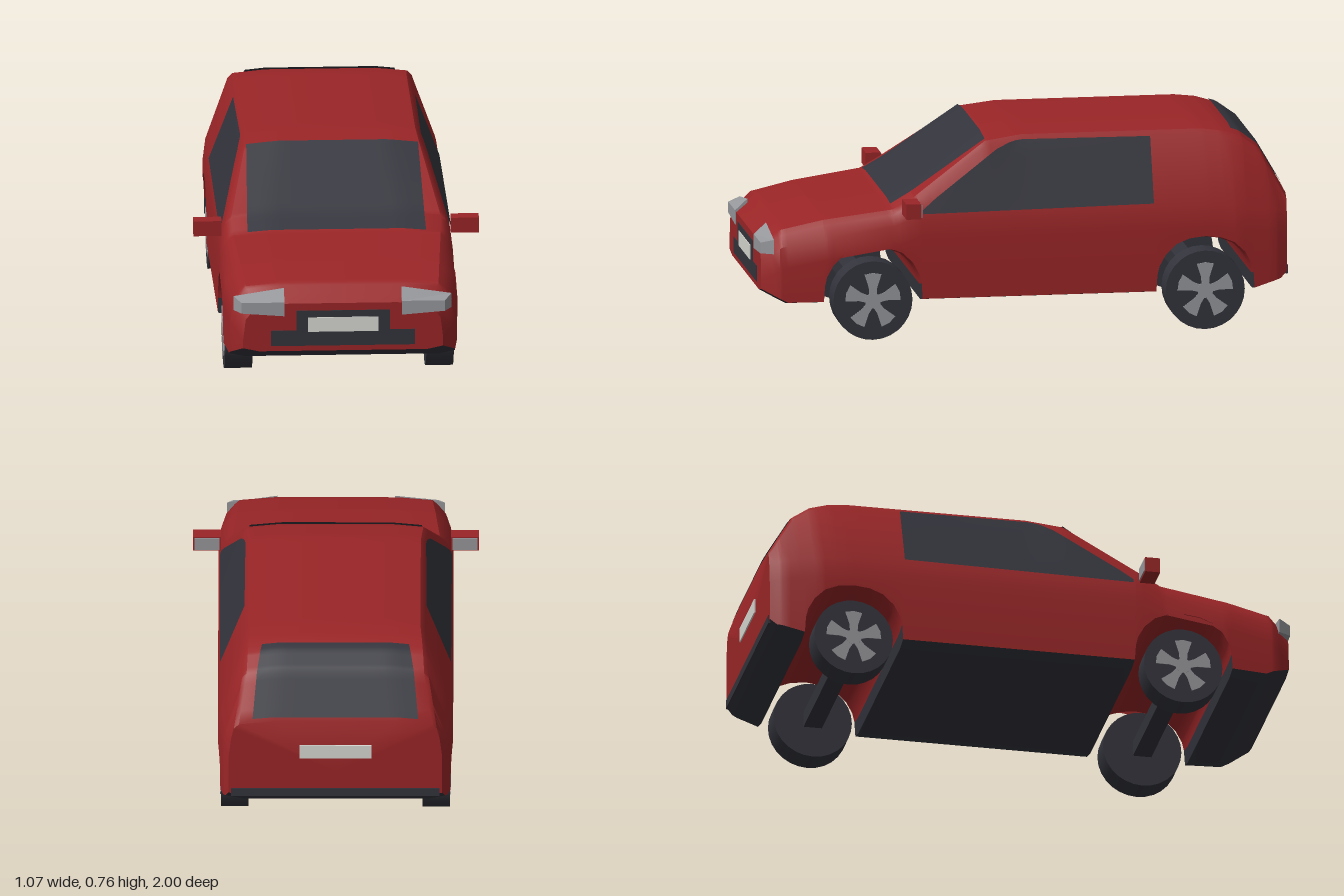
import * as THREE from 'three';
import { toCreasedNormals } from 'three/addons/utils/BufferGeometryUtils.js';

const mat = (name, color, side = THREE.FrontSide) => {
  const m = new THREE.MeshStandardMaterial({ color, side });
  m.name = name;
  return m;
};

// Piecewise linear curve through [z, value] knots, z falling from front to rear
function at(knots, z) {
  if (z >= knots[0][0]) return knots[0][1];
  for (let i = 1; i < knots.length; i++) {
    const [z0, v0] = knots[i - 1], [z1, v1] = knots[i];
    if (z >= z1) return v0 + (v1 - v0) * (z0 - z) / (z0 - z1);
  }
  return knots[knots.length - 1][1];
}

// Wheel arch outline in the underside, centred on c
const arch = (c) => [[c + 0.187, 0.14], [c + 0.183, 0.2], [c + 0.175, 0.235], [c + 0.15, 0.28],
  [c + 0.11, 0.318], [c + 0.06, 0.338], [c, 0.345], [c - 0.06, 0.338], [c - 0.11, 0.318],
  [c - 0.15, 0.28], [c - 0.175, 0.235], [c - 0.183, 0.2], [c - 0.187, 0.14]];

const FRONT = 0.58, REAR = -0.68, END = 0.995;
const roofLine = [[END, 0.37], [0.92, 0.43], [0.76, 0.465], [0.5, 0.5], [0.42, 0.545], [0.14, 0.738],
  [0, 0.757], [-0.68, 0.757], [-0.76, 0.747], [-0.83, 0.725], [-0.9, 0.675], [-END, 0.51]];
const edgeWidth = [[END, 0.34], [0.92, 0.38], [0.5, 0.41], [0.42, 0.413], [0.14, 0.345], [0, 0.335],
  [-0.68, 0.335], [-0.9, 0.35], [-END, 0.38]];
const shoulder = [[END, 0.31], [0.92, 0.36], [0.76, 0.39], [0.5, 0.43], [0.4, 0.47], [-0.7, 0.48], [-END, 0.44]];
const sideWidth = [[END, 0.375], [0.93, 0.42], [0.75, 0.44], [-0.8, 0.44], [-0.95, 0.42], [-END, 0.4]];
const floorLine = [[END, 0.185], [0.9, 0.138], ...arch(FRONT), ...arch(REAR), [-0.97, 0.17], [-END, 0.195]];

// Half cross-section from roof centre, round the side, to floor centre
function half(z) {
  const t = at(roofLine, z), e = at(edgeWidth, z), s = at(shoulder, z), w = at(sideWidth, z), b = at(floorLine, z);
  return [[0, t], [0.6 * e, t], [0.95 * e, t - 0.012], [e, t - 0.03], [w - 0.01, s], [w, s - 0.08],
    [w, b + 0.013], [w - 0.06, b], [0, b]];
}
function topY(x, z) {
  const p = half(z), a = Math.abs(x);
  for (let i = 0; i < 4; i++) {
    if (a <= p[i + 1][0]) return p[i][1] + (p[i + 1][1] - p[i][1]) * (a - p[i][0]) / (p[i + 1][0] - p[i][0]);
  }
  return p[4][1];
}
function sideX(y, z) {
  const p = half(z);
  for (let i = 2; i < 5; i++) {
    if (y >= p[i + 1][1]) return p[i][0] + (p[i + 1][0] - p[i][0]) * (p[i][1] - y) / (p[i][1] - p[i + 1][1]);
  }
  return p[5][0];
}

function fromTriangles(list, crease) {
  const g = new THREE.BufferGeometry();
  g.setAttribute('position', new THREE.Float32BufferAttribute(list.flat(), 3));
  return toCreasedNormals(g, crease);
}

// Grid surface from fn(u, v)
function patch(nu, nv, fn) {
  const tri = [];
  const P = (i, j) => fn(i / nu, j / nv);
  for (let i = 0; i < nu; i++) for (let j = 0; j < nv; j++) {
    const a = P(i, j), b = P(i + 1, j), c = P(i + 1, j + 1), d = P(i, j + 1);
    tri.push(a, b, c, a, c, d);
  }
  return fromTriangles(tri, 0.6);
}

// Loft of the shell, split into paint and dark underside
function shell() {
  const zs = new Set();
  for (const k of [roofLine, edgeWidth, shoulder, sideWidth, floorLine]) k.forEach(([z]) => zs.add(z));
  for (let z = -0.96; z < 0.98; z += 0.04) zs.add(z);
  const rings = [...zs].sort((a, b) => b - a).map((z) => {
    const h = half(z).map(([x, y]) => [x, y, z]);
    return [...h, ...h.slice(1, 8).reverse().map(([x, y]) => [-x, y, z])];
  });
  const paint = [], dark = [];
  for (let i = 0; i + 1 < rings.length; i++) for (let j = 0; j < 16; j++) {
    const k = (j + 1) % 16;
    const a = rings[i][j], b = rings[i][k], c = rings[i + 1][k], d = rings[i + 1][j];
    const under = j >= 6 && j <= 9 && (a[1] + b[1] + c[1] + d[1]) / 4 < 0.2;
    (under ? dark : paint).push(a, b, c, a, c, d);
  }
  const first = rings[0], last = rings[rings.length - 1];
  for (let j = 0; j < 16; j++) {
    const k = (j + 1) % 16;
    paint.push([0, 0.3, END], first[k], first[j], [0, 0.3, -END], last[j], last[k]);
  }
  return [fromTriangles(paint, 0.6), fromTriangles(dark, 0.6)];
}

export function createModel() {
  const red = mat('redPaint', 0x9a2527);
  const dark = mat('darkTrim', 0x33343c, THREE.DoubleSide);
  const silver = mat('silver', 0x97989c);
  const pale = mat('palePlate', 0xd8d8d2);
  const car = new THREE.Group();
  car.name = 'car';
  const add = (name, geo, m, parent = car) => {
    const mesh = new THREE.Mesh(geo, m);
    mesh.name = name;
    parent.add(mesh);
    return mesh;
  };
  const box = (name, m, x0, x1, y0, y1, z0, z1) =>
    add(name, new THREE.BoxGeometry(x1 - x0, y1 - y0, z1 - z0), m)
      .position.set((x0 + x1) / 2, (y0 + y1) / 2, (z0 + z1) / 2);

  // Body
  const [paintGeo, underGeo] = shell();
  add('body', paintGeo, red);
  add('underside', underGeo, dark);

  // Windscreen and rear window follow the roof surface
  const roofGlass = (z0, z1, w0, w1) => patch(16, 16, (u, v) => {
    const z = z0 + (z1 - z0) * v, x = (2 * u - 1) * (w0 + (w1 - w0) * v);
    return [x, topY(x, z) + 0.007, z];
  });
  add('windscreen', roofGlass(0.5, 0.14, 0.335, 0.322), dark);
  add('rearWindow', roofGlass(-0.8, -0.99, 0.275, 0.31), dark);

  // Side windows follow the flanks
  const sill = [[0.39, 0.475], [-0.485, 0.487]];
  const header = [[0.39, 0.49], [0.34, 0.53], [0.1, 0.698], [0.04, 0.725], [0, 0.73], [-0.485, 0.727]];
  for (const s of [1, -1]) {
    add(s > 0 ? 'leftSideWindow' : 'rightSideWindow', patch(36, 8, (u, v) => {
      const z = 0.39 - 0.875 * u, y = at(sill, z) + (at(header, z) - at(sill, z)) * v;
      return [s * (sideX(y, z) + 0.006), y, z];
    }), dark);
  }

  // Nose and tail details
  box('upperGrille', dark, -0.175, 0.175, 0.26, 0.342, 0.99, 0.997);
  box('lowerGrille', dark, -0.27, 0.27, 0.205, 0.265, 0.99, 0.997);
  box('frontPlate', pale, -0.132, 0.132, 0.26, 0.316, 0.992, 1);
  box('rearPlate', pale, -0.135, 0.135, 0.355, 0.41, -1, -0.992);
  box('rearBumperStrip', dark, -0.39, 0.39, 0.195, 0.228, -0.999, -0.99);

  // Headlamps: boxes with corners pulled to the wing shape
  for (const s of [1, -1]) {
    const g = new THREE.BoxGeometry(1, 1, 1).toNonIndexed();
    const p = g.attributes.position;
    for (let i = 0; i < p.count; i++) {
      const outer = p.getX(i) * s > 0, up = p.getY(i) > 0, front = p.getZ(i) > 0;
      const x = outer ? (front ? 0.382 : 0.408) : 0.22;
      const y = up ? (front ? 0.376 : outer ? 0.39 : 0.419) : (outer ? 0.335 : 0.322);
      p.setXYZ(i, s * x, y, front ? 0.999 : 0.952);
    }
    g.computeVertexNormals();
    add(s > 0 ? 'leftHeadlamp' : 'rightHeadlamp', g, silver);
  }

  // Door mirrors
  for (const s of [1, -1]) {
    const side = s > 0 ? 'left' : 'right';
    box(side + 'Mirror', red, s > 0 ? 0.43 : -0.535, s > 0 ? 0.535 : -0.43, 0.477, 0.535, 0.413, 0.47);
    box(side + 'MirrorGlass', silver, s > 0 ? 0.436 : -0.53, s > 0 ? 0.53 : -0.436, 0.482, 0.53, 0.409, 0.415);
  }

  // Wheels with five flared spokes, and axles
  const spoke = new THREE.Shape([[-0.013, 0], [-0.016, 0.05], [-0.032, 0.1], [0, 0.106], [0.032, 0.1],
    [0.016, 0.05], [0.013, 0]].map(([x, y]) => new THREE.Vector2(x, y)));
  const spokeGeo = new THREE.ExtrudeGeometry(spoke, { depth: 0.004, bevelEnabled: false });
  const tyreGeo = new THREE.CylinderGeometry(0.15, 0.15, 0.103, 28).rotateZ(Math.PI / 2);
  const hubGeo = new THREE.CylinderGeometry(0.03, 0.03, 0.004, 16).rotateX(Math.PI / 2);
  for (const z of [FRONT, REAR]) {
    for (const s of [1, -1]) {
      const wheel = new THREE.Group();
      wheel.name = (z > 0 ? 'front' : 'rear') + (s > 0 ? 'Left' : 'Right') + 'Wheel';
      add('tyre', tyreGeo, dark, wheel);
      const rim = new THREE.Group();
      rim.name = 'rim';
      rim.rotation.y = s * Math.PI / 2;
      rim.position.x = s * 0.0505;
      for (let i = 0; i < 5; i++) add('spoke', spokeGeo, silver, rim).rotation.z = i * Math.PI * 0.4;
      add('hub', hubGeo, silver, rim).position.z = 0.003;
      wheel.add(rim);
      wheel.position.set(s * 0.377, 0.15, z);
      car.add(wheel);
    }
    box(z > 0 ? 'frontAxle' : 'rearAxle', dark, -0.34, 0.34, 0.12, 0.18, z - 0.035, z + 0.035);
  }
  return car;
}
